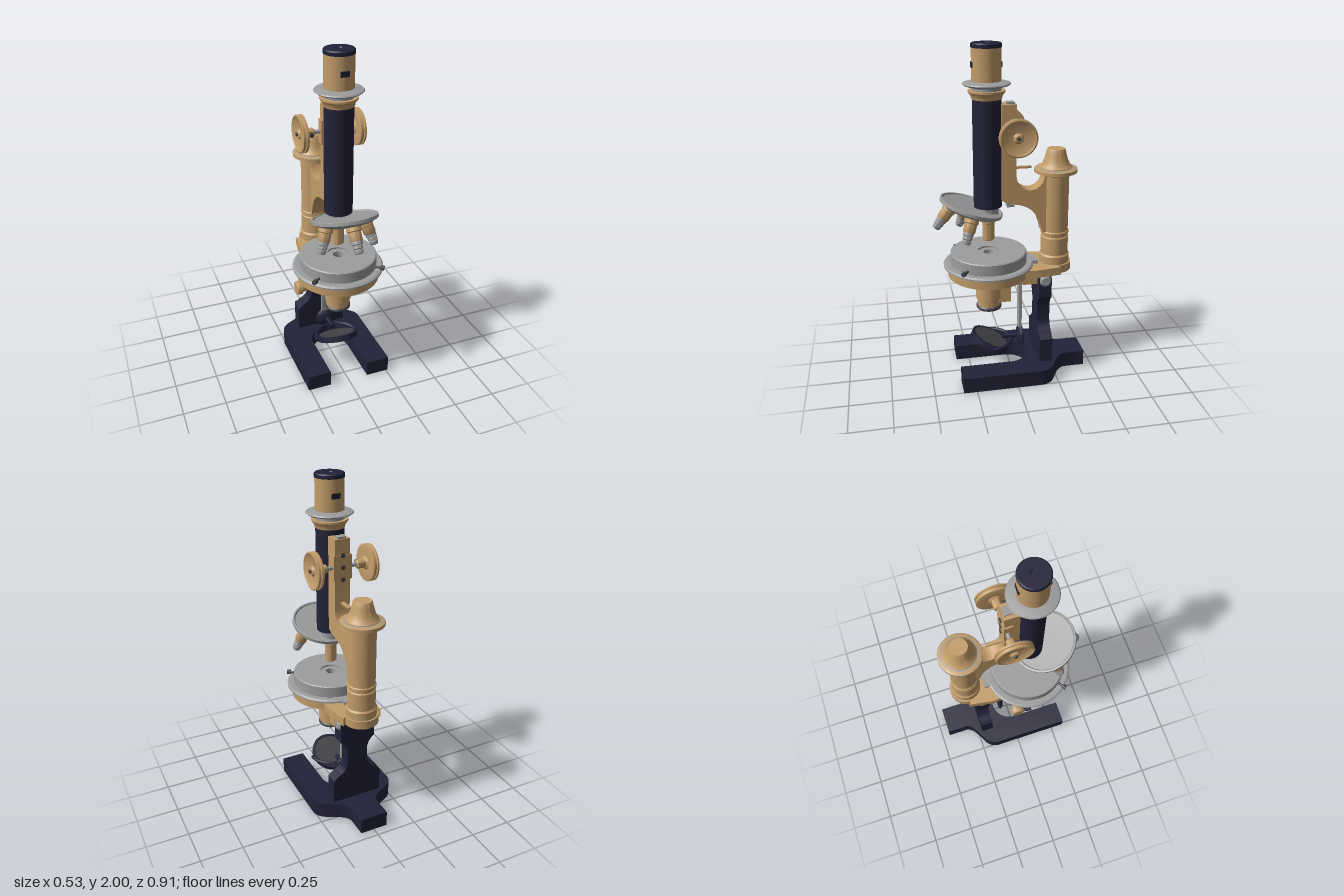
import * as THREE from 'three';
import { toCreasedNormals } from 'three/addons/utils/BufferGeometryUtils.js';

const mat = (name, color) => {
  const m = new THREE.MeshStandardMaterial({ color });
  m.name = name;
  return m;
};

export function createModel() {
  const root = new THREE.Group();
  root.name = 'microscope';
  const navy = mat('navy enamel', 0x222239);
  const brass = mat('brass', 0xc29c69);
  const silver = mat('silver', 0x9d9d9d);
  const dark = mat('dark grey', 0x45454a);

  const add = (name, geo, material, x = 0, y = 0, z = 0, parent = root) => {
    const m = new THREE.Mesh(geo, material);
    m.name = name;
    m.position.set(x, y, z);
    parent.add(m);
    return m;
  };
  // turned part: profile of [radius, height] from bottom to top
  const turned = (name, pts, material, x = 0, y = 0, z = 0, parent = root) => add(name,
    toCreasedNormals(new THREE.LatheGeometry(pts.map(p => new THREE.Vector2(...p)), 48), 0.6),
    material, x, y, z, parent);
  const disc = (name, r, y0, y1, material, z) =>
    turned(name, [[0, y0], [r, y0], [r, y1], [0, y1]], material, 0, 0, z);
  const box = (name, w, h, d, material, x, y, z, parent) =>
    add(name, new THREE.BoxGeometry(w, h, d), material, x, y, z, parent);
  const extrude = (shape, depth) => toCreasedNormals(
    new THREE.ExtrudeGeometry(shape, { depth, bevelEnabled: false, curveSegments: 20 }), 0.6);
  // plan shape drawn in x and z, standing between two heights
  const plan = (name, shape, y0, y1, material) =>
    add(name, extrude(shape, y1 - y0).rotateX(Math.PI / 2), material, 0, y1, 0);
  // side shape drawn in z and y, centred across x
  const side = (name, shape, width, material) =>
    add(name, extrude(shape, width).rotateY(-Math.PI / 2), material, width / 2, 0, 0);

  const OPT = 0.135; // optical axis
  const COL = -0.265; // rear column axis

  // horseshoe foot with three pads
  const foot = new THREE.Shape();
  foot.moveTo(-0.26, 0.33);
  foot.lineTo(-0.26, -0.15);
  foot.bezierCurveTo(-0.25, -0.22, -0.19, -0.23, -0.15, -0.255);
  foot.quadraticCurveTo(-0.1, -0.28, -0.085, -0.32);
  foot.lineTo(-0.085, -0.45);
  foot.lineTo(0.085, -0.45);
  foot.lineTo(0.085, -0.32);
  foot.quadraticCurveTo(0.1, -0.28, 0.15, -0.255);
  foot.bezierCurveTo(0.19, -0.23, 0.25, -0.22, 0.26, -0.15);
  foot.lineTo(0.26, 0.33);
  foot.lineTo(0.12, 0.33);
  foot.lineTo(0.12, 0.02);
  foot.absarc(0, 0.02, 0.12, 0, Math.PI, true);
  foot.lineTo(-0.12, 0.33);
  plan('horseshoeFoot', foot, 0.004, 0.1, navy);
  for (const [x, z] of [[-0.19, 0.24], [0.19, 0.24], [0, -0.33]])
    box('footPad', 0.1, 0.008, 0.11, dark, x, 0.004, z);

  // pillar with wide foot, waist and head
  const pillar = new THREE.Shape();
  pillar.moveTo(0.155, 0.09);
  pillar.lineTo(0.155, 0.25);
  pillar.lineTo(0.12, 0.28);
  pillar.quadraticCurveTo(0.068, 0.3, 0.065, 0.36);
  pillar.lineTo(0.065, 0.44);
  pillar.quadraticCurveTo(0.075, 0.49, 0.11, 0.51);
  pillar.lineTo(0.11, 0.61);
  pillar.quadraticCurveTo(0.11, 0.65, 0.08, 0.65);
  pillar.lineTo(-0.08, 0.65);
  pillar.quadraticCurveTo(-0.11, 0.65, -0.11, 0.61);
  pillar.lineTo(-0.11, 0.51);
  pillar.quadraticCurveTo(-0.075, 0.49, -0.065, 0.44);
  pillar.lineTo(-0.065, 0.36);
  pillar.quadraticCurveTo(-0.068, 0.3, -0.12, 0.28);
  pillar.lineTo(-0.155, 0.25);
  pillar.lineTo(-0.155, 0.09);
  add('pillar', extrude(pillar, 0.078), navy, 0, 0, -0.228);
  turned('hingePin', [[0, -0.12], [0.025, -0.12], [0.035, -0.11], [0.035, 0.11], [0.025, 0.12], [0, 0.12]],
    silver, 0, 0.62, -0.19).rotation.z = Math.PI / 2;
  box('hingeBlock', 0.13, 0.08, 0.15, brass, 0, 0.625, -0.135);

  // stage carrier: disc with a tail under the column
  const tail = new THREE.Shape();
  tail.moveTo(-0.12, 0.1);
  tail.lineTo(-0.145, -0.13);
  tail.lineTo(-0.12, -0.28);
  tail.absarc(0, COL, 0.1, Math.PI, Math.PI * 2, false);
  tail.lineTo(0.12, -0.28);
  tail.lineTo(0.145, -0.13);
  tail.lineTo(0.12, 0.1);
  plan('carrierTail', tail, 0.66, 0.709, brass);
  disc('carrierDisc', 0.24, 0.656, 0.712, brass, OPT);

  // round stage with a sunken opening
  turned('stageRing', [[0, 0.712], [0.255, 0.712], [0.266, 0.717], [0.266, 0.726], [0.255, 0.734], [0, 0.734]],
    silver, 0, 0, OPT);
  turned('stage', [[0, 0.73], [0.22, 0.73], [0.225, 0.735], [0.225, 0.797], [0.22, 0.802], [0.062, 0.802],
    [0.062, 0.792], [0.03, 0.792], [0.03, 0.76], [0, 0.76]], silver, 0, 0, OPT);
  disc('stageAperture', 0.029, 0.758, 0.764, dark, OPT);
  box('stageStop', 0.1, 0.02, 0.07, silver, 0, 0.722, -0.12);
  for (const s of [-1, 1]) {
    const screw = turned('stageScrew', [[0, 0], [0.007, 0], [0.007, 0.05], [0.014, 0.05], [0.014, 0.07], [0, 0.07]],
      dark, s * 0.16, 0.752, 0.27);
    screw.rotation.set(Math.PI / 2, 0, -s * 0.9);
    turned('carrierScrew', [[0, 0], [0.024, 0], [0.024, 0.04], [0, 0.04]], silver, s * 0.1, 0.62, 0.03);
  }

  // condenser below the stage, with its focusing slide and knob
  turned('condenser', [[0, 0.45], [0.07, 0.45], [0.07, 0.49], [0.077, 0.495], [0.077, 0.63], [0.07, 0.64],
    [0.07, 0.66], [0, 0.66]], brass, 0, 0, OPT);
  turned('condenserRim', [[0, 0.428], [0.07, 0.428], [0.076, 0.435], [0.076, 0.445], [0.07, 0.452], [0, 0.452]],
    dark, 0, 0, OPT);
  disc('condenserLens', 0.062, 0.425, 0.43, navy, OPT);
  box('condenserSlide', 0.08, 0.17, 0.07, brass, 0, 0.555, 0.04);
  turned('condenserKnob', [[0, 0], [0.016, 0], [0.016, 0.08], [0.03, 0.13], [0.03, 0.145], [0.042, 0.15],
    [0.042, 0.175], [0.036, 0.182], [0, 0.182]], brass, -0.04, 0.53, 0.01).rotation.z = Math.PI / 2;

  // mirror on its hanging bar
  box('mirrorBar', 0.06, 0.36, 0.018, silver, -0.004, 0.455, -0.055);
  turned('mirrorBoss', [[0, -0.016], [0.06, -0.016], [0.068, -0.008], [0.05, 0.012], [0.02, 0.02], [0, 0.02]],
    navy, 0, 0.213, -0.055).rotation.x = Math.PI / 2;
  turned('mirrorRod', [[0, 0], [0.014, 0], [0.014, 0.1], [0, 0.1]], navy, 0, 0.213, -0.045).rotation.x = Math.PI / 2;
  const yoke = add('mirrorYoke', new THREE.TorusGeometry(0.132, 0.011, 10, 32, Math.PI), navy, 0, 0.2, OPT);
  yoke.rotation.x = -Math.PI / 2;
  const mirror = new THREE.Group();
  mirror.name = 'mirror';
  mirror.position.set(0, 0.2, 0.13);
  mirror.rotation.x = -0.46;
  root.add(mirror);
  turned('mirrorFrame', [[0, -0.014], [0.11, -0.014], [0.11, -0.018], [0.124, -0.016], [0.126, 0.016],
    [0.11, 0.018], [0.11, 0.014], [0, 0.014]], navy, 0, 0, 0, mirror);
  for (const y of [-0.014, 0.014])
    turned('mirrorGlass', [[0, -0.003], [0.108, -0.003], [0.108, 0.003], [0, 0.003]], dark, 0, y, 0, mirror);

  // rear column with flange and concave cap
  turned('column', [[0, 0.7], [0.09, 0.7], [0.09, 0.755], [0.082, 0.765], [0.082, 0.87], [0.076, 0.875],
    [0.076, 0.888], [0.084, 0.893], [0.084, 0.905], [0.079, 0.91], [0.079, 1.262], [0, 1.262]], brass, 0, 0, COL);
  turned('columnFlange', [[0, 1.255], [0.095, 1.255], [0.1, 1.262], [0.125, 1.266], [0.125, 1.284],
    [0.115, 1.29], [0.095, 1.29]], brass, 0, 0, COL);
  turned('flangeTop', [[0.125, 1.285], [0.094, 1.292]], silver, 0, 0, COL);
  turned('columnCap', [[0.095, 1.285], [0.095, 1.295], [0.084, 1.305], [0.07, 1.335], [0.06, 1.37],
    [0.054, 1.395], [0.05, 1.402], [0, 1.402]], brass, 0, 0, COL);

  // limb sweeping from column to the tube slide
  const limb = new THREE.Shape();
  limb.moveTo(-0.25, 0.91);
  limb.lineTo(-0.18, 0.91);
  limb.bezierCurveTo(-0.16, 1.03, -0.1, 1.08, -0.02, 1.09);
  limb.lineTo(0.03, 1.1);
  limb.lineTo(0.06, 1.12);
  limb.lineTo(0.06, 1.67);
  limb.lineTo(-0.025, 1.67);
  limb.lineTo(-0.025, 1.26);
  limb.bezierCurveTo(-0.03, 1.15, -0.17, 1.14, -0.19, 1.25);
  limb.lineTo(-0.25, 1.25);
  side('limb', limb, 0.092, brass);
  box('rack', 0.05, 0.61, 0.044, silver, 0, 1.375, 0.002 + 0.002);
  box('slideBlock', 0.11, 0.14, 0.05, brass, 0, 1.51, -0.005);
  for (const y of [1.44, 1.51, 1.58])
    turned('slideScrew', [[0, 0], [0.013, 0], [0.013, 0.008], [0, 0.008]], dark, 0, y, -0.028).rotation.x = -Math.PI / 2;
  box('clampLever', 0.02, 0.012, 0.11, brass, 0, 1.3, -0.065);

  // coarse focus wheels on a common axle
  turned('focusAxle', [[0, -0.15], [0.012, -0.15], [0.012, 0.15], [0, 0.15]], silver, 0, 1.51, -0.01)
    .rotation.z = Math.PI / 2;
  for (const s of [-1, 1]) {
    const wheel = new THREE.Group();
    wheel.name = s > 0 ? 'leftFocusWheel' : 'rightFocusWheel';
    wheel.position.set(0, 1.51, -0.01);
    wheel.rotation.z = -s * Math.PI / 2;
    root.add(wheel);
    turned('wheel', [[0, 0.09], [0.02, 0.09], [0.026, 0.096], [0.026, 0.14], [0.04, 0.15], [0.095, 0.147],
      [0.106, 0.15], [0.106, 0.162], [0.098, 0.165], [0.098, 0.17], [0.106, 0.173], [0.106, 0.182],
      [0.098, 0.185], [0.088, 0.177], [0.03, 0.172], [0.018, 0.184], [0, 0.184]], brass, 0, 0, 0, wheel);
    turned('wheelScrew', [[0, 0.18], [0.01, 0.18], [0.01, 0.193], [0, 0.193]], dark, 0, 0, 0, wheel);
    turned('hubScrew', [[0, 0], [0.012, 0], [0.012, 0.036], [0, 0.036]], dark, s * 0.118, 1.51, 0.005)
      .rotation.x = Math.PI / 2;
  }

  // body tube and eyepiece
  disc('bodyTube', 0.081, 1.08, 1.71, navy, OPT);
  turned('tubeCollar', [[0, 1.7], [0.085, 1.7], [0.088, 1.718], [0.104, 1.738], [0.104, 1.748], [0, 1.748]],
    brass, 0, 0, OPT);
  turned('eyepieceFlange', [[0, 1.745], [0.083, 1.745], [0.083, 1.762], [0.125, 1.774], [0.135, 1.782],
    [0.13, 1.788], [0.085, 1.797], [0, 1.797]], silver, 0, 0, OPT);
  disc('eyepieceTube', 0.082, 1.79, 1.978, brass, OPT);
  turned('eyepieceCap', [[0, 1.975], [0.084, 1.975], [0.085, 1.98], [0.085, 1.994], [0.079, 2], [0.022, 2],
    [0.018, 1.994], [0, 1.994]], navy, 0, 0, OPT);
  for (const s of [-1, 1]) box('eyepiecePlate', 0.05, 0.03, 0.008, navy, 0, 1.885, OPT + s * 0.08);

  // tilted revolving nosepiece with four objectives
  disc('tubeFoot', 0.06, 1.0, 1.09, silver, OPT);
  const nose = new THREE.Group();
  nose.name = 'nosepiece';
  nose.position.set(0, 1.08, 0.232);
  nose.rotation.x = -0.32;
  root.add(nose);
  turned('nosepieceDish', [[0, -0.035], [0.125, -0.035], [0.16, -0.024], [0.18, -0.012], [0.188, -0.008],
    [0.188, 0.01], [0.178, 0.012], [0.172, 0.004], [0, -0.004]], silver, 0, 0, 0, nose);
  for (let i = 0; i < 4; i++) {
    const mount = new THREE.Group();
    mount.name = 'objectiveMount';
    mount.rotation.y = i * Math.PI / 2;
    nose.add(mount);
    const objective = new THREE.Group();
    objective.name = 'objective';
    objective.position.set(0, -0.02, 0.11);
    objective.rotation.x = -0.32;
    mount.add(objective);
    if (i === 2) { // short plain objective in use
      turned('objectiveBody', [[0, -0.155], [0.03, -0.155], [0.035, -0.15], [0.035, -0.05], [0.042, -0.045],
        [0.042, 0], [0, 0]], brass, 0, 0, 0, objective);
    } else {
      turned('objectiveBody', [[0, -0.095], [0.033, -0.095], [0.036, -0.09], [0.036, -0.045], [0.042, -0.04],
        [0.042, 0], [0, 0]], brass, 0, 0, 0, objective);
      turned('objectiveTip', [[0, -0.165], [0.02, -0.165], [0.025, -0.155], [0.025, -0.142], [0.021, -0.139],
        [0.028, -0.135], [0.028, -0.12], [0.024, -0.117], [0.031, -0.113], [0.031, -0.09], [0, -0.09]],
        silver, 0, 0, 0, objective);
    }
  }
  return root;
}
